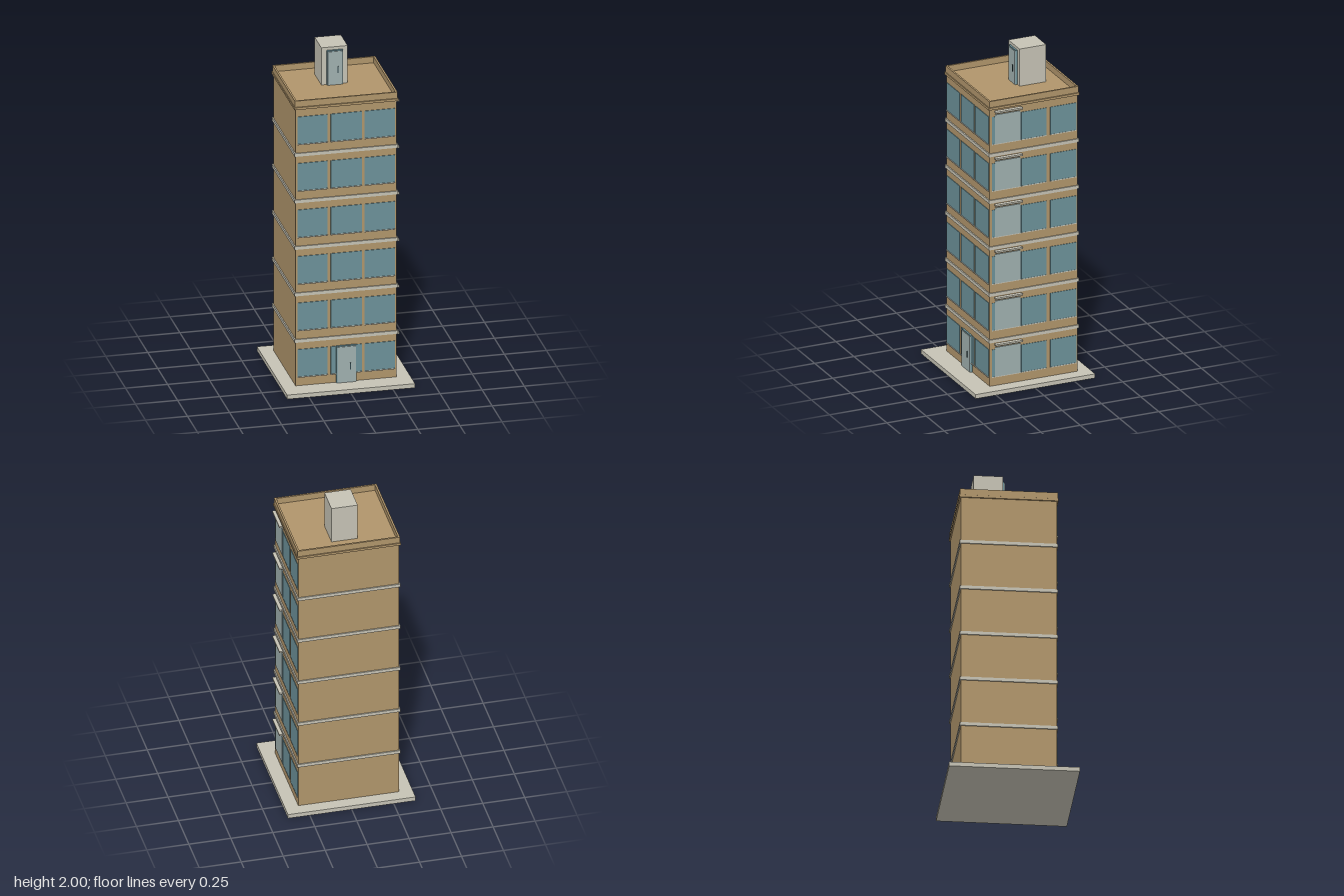
import * as THREE from 'three';

const material = (name, color) => {
  const m = new THREE.MeshStandardMaterial({ color });
  m.name = name;
  return m;
};

export function createModel() {
  const tan = material('tan wall', 0xb0956b);
  const cream = material('cream stone', 0xc5c2b4);
  const glass = material('blue glass', 0x6c9199);
  const pale = material('pale panel', 0x9fafae);
  const dark = material('dark metal', 0x2e4449);

  const model = new THREE.Group();
  model.name = 'apartmentTower';

  // Box given by its extents on each axis
  const box = (name, mat, [x0, x1], [y0, y1], [z0, z1]) => {
    const mesh = new THREE.Mesh(new THREE.BoxGeometry(x1 - x0, y1 - y0, z1 - z0), mat);
    mesh.position.set((x0 + x1) / 2, (y0 + y1) / 2, (z0 + z1) / 2);
    mesh.name = name;
    model.add(mesh);
    return mesh;
  };

  const W = 0.3, BACK = -0.304, FRONT = 0.254, ROOF = 1.768;
  const FLOORS = 6, STEP = 0.2905;

  // Horizontal rectangular ring, grown outwards and inwards from the wall line
  const ring = (name, mat, out, inn, y0, y1) => {
    const rect = (target, d) => target.moveTo(-W - d, -FRONT - d).lineTo(W + d, -FRONT - d)
      .lineTo(W + d, -BACK + d).lineTo(-W - d, -BACK + d).closePath();
    const shape = new THREE.Shape();
    rect(shape, out);
    const hole = new THREE.Path();
    rect(hole, -inn);
    shape.holes.push(hole);
    const geo = new THREE.ExtrudeGeometry(shape, { depth: y1 - y0, bevelEnabled: false });
    geo.rotateX(-Math.PI / 2);
    const mesh = new THREE.Mesh(geo, mat);
    mesh.position.y = y0;
    mesh.name = name;
    model.add(mesh);
  };

  // Ground slab, tower body and roof edge
  box('groundSlab', cream, [-0.38, 0.38], [0, 0.026], [-0.38, 0.38]);
  box('towerBody', tan, [-W, W], [0.026, ROOF], [BACK, FRONT]);
  ring('parapet', tan, 0.005, 0.006, ROOF, 1.806);
  ring('cornice', tan, 0.009, 0.004, 1.752, ROOF - 0.002);

  const frontBays = [[-0.29, -0.11], [-0.092, 0.092], [0.108, 0.29]];
  const sideBays = [[0.058, 0.24], [-0.106, 0.054], [-0.295, -0.13]];

  for (let f = 0; f < FLOORS; f++) {
    const y = f * STEP;
    const height = [y + 0.083, y + 0.253];
    const sill = [y + 0.078, y + 0.083];

    // Stone band between storeys
    if (f < FLOORS - 1) ring('floorBand', cream, 0.007, 0.004, y + 0.297, y + 0.317);

    // Windows on the front and the model's left side
    for (const bay of frontBays) {
      box('frontWindow', glass, bay, height, [FRONT, FRONT + 0.004]);
      box('frontSill', cream, bay, sill, [FRONT, FRONT + 0.008]);
    }
    for (const bay of sideBays) {
      box('sideWindow', glass, [W, W + 0.003], height, bay);
      box('sideSill', cream, [W, W + 0.004], sill, bay);
    }

    // Pale balcony panel with a thin canopy above it
    box('sidePanel', pale, [W, W + 0.006], [y + 0.083, y + 0.265], [0.06, 0.222]);
    box('sideCanopy', cream, [W, 0.324], [y + 0.279, y + 0.289], [0.054, 0.224]);
  }

  // Door: frame, leaf and handle
  const door = (name, half, y0, y1, z, handleX) => {
    box(name + 'Frame', glass, [-half, half], [y0, y1], [z, z + 0.011]);
    box(name + 'Leaf', pale, [-half + 0.005, half - 0.005], [y0, y1 - 0.006], [z + 0.011, z + 0.015]);
    const mid = y0 + (y1 - y0) * 0.44;
    box(name + 'Handle', dark, [handleX - 0.003, handleX + 0.003], [mid - 0.02, mid + 0.02], [z + 0.015, z + 0.019]);
  };
  door('entranceDoor', 0.06, 0.026, 0.255, FRONT, 0.022);

  // Rooftop stair housing
  box('stairHousing', cream, [-0.078, 0.078], [ROOF, 2], [-0.207, -0.038]);
  door('roofDoor', 0.048, ROOF, 1.982, -0.038, 0.017);

  return model;
}
